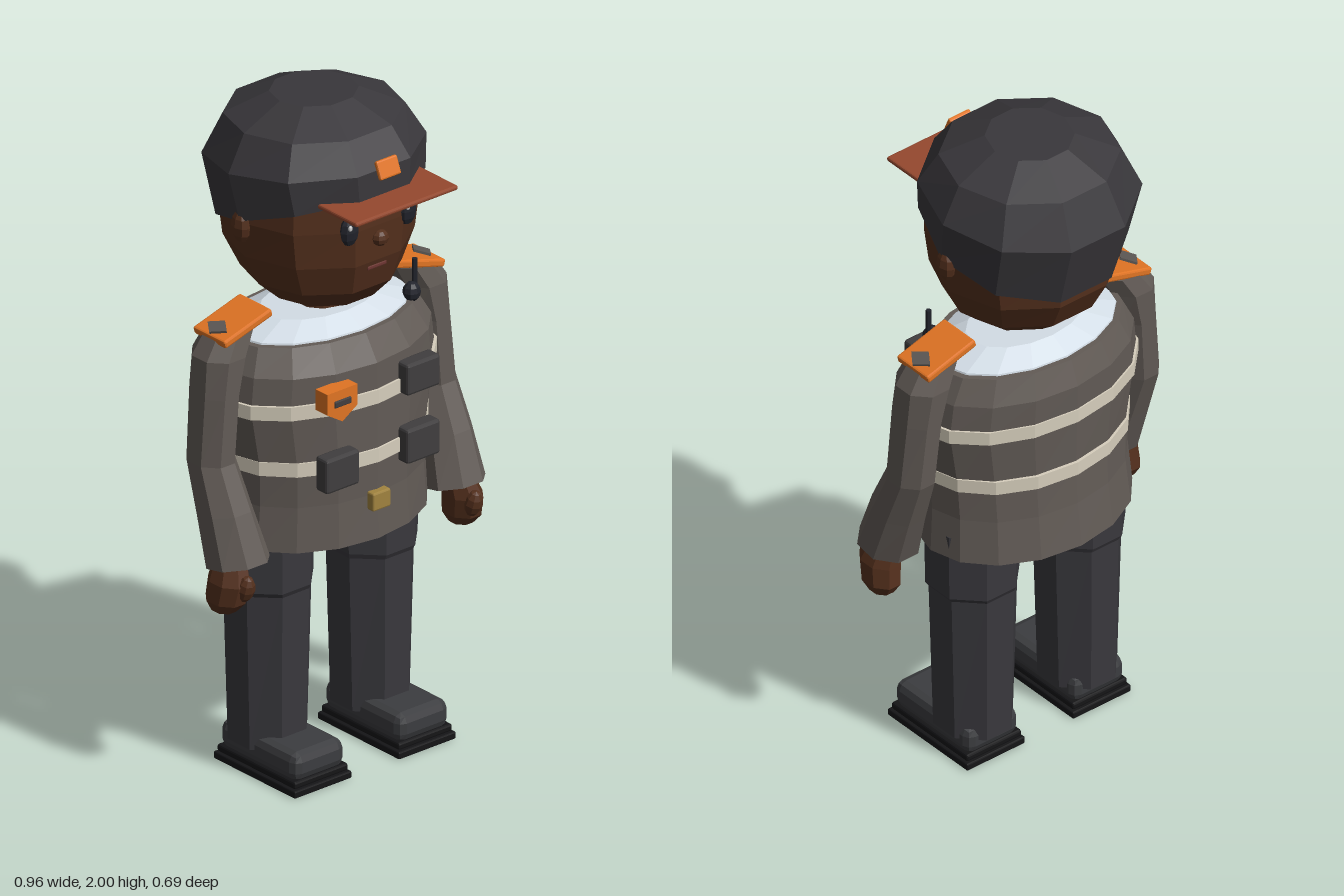
import * as THREE from 'three';
import { RoundedBoxGeometry } from 'three/addons/geometries/RoundedBoxGeometry.js';

const COLORS = {
  jacket: 0x625b56, cap: 0x39373b, trousers: 0x39383d, skin: 0x54301d, orange: 0xe07424,
  visor: 0x95492f, stripe: 0xd6cebc, shirt: 0xd3dde6, shoe: 0x3c3d40, sole: 0x151517,
  pocket: 0x403e3f, dark: 0x22242c, gold: 0xa0833f, mouth: 0x6e3632, white: 0xe8e8e8, diamond: 0x5c5855,
};
const mats = {};
function mat(name) {
  if (!mats[name]) {
    mats[name] = new THREE.MeshStandardMaterial({ color: COLORS[name], flatShading: true });
  }
  return mats[name];
}

// Closed faceted body through horizontal rings [x, y, z, rx, rz, slope]; slope tilts the ring along z
function loft(rings, n, phase = 0) {
  const pos = [];
  const point = (r, i) => {
    const a = ((i + phase) / n) * Math.PI * 2;
    const dz = Math.sin(a) * r[4];
    return [r[0] + Math.cos(a) * r[3], r[1] + dz * (r[5] || 0), r[2] + dz];
  };
  const tri = (a, b, c) => pos.push(...a, ...b, ...c);
  const first = rings[0], last = rings[rings.length - 1];
  for (let i = 0; i < n; i++) {
    for (let k = 0; k < rings.length - 1; k++) {
      const a = point(rings[k], i), b = point(rings[k], i + 1);
      const c = point(rings[k + 1], i), d = point(rings[k + 1], i + 1);
      tri(a, c, b);
      tri(b, c, d);
    }
    tri(first.slice(0, 3), point(first, i), point(first, i + 1));
    tri(last.slice(0, 3), point(last, i + 1), point(last, i));
  }
  const g = new THREE.BufferGeometry();
  g.setAttribute('position', new THREE.Float32BufferAttribute(pos, 3));
  g.computeVertexNormals();
  return g;
}

export function createModel() {
  const root = new THREE.Group();
  root.name = 'uniformedFigure';

  function add(name, geometry, color, x = 0, y = 0, z = 0) {
    const m = new THREE.Mesh(geometry, mat(color));
    m.name = name;
    m.position.set(x, y, z);
    root.add(m);
    return m;
  }
  const block = (w, h, d, r = 0.008) => new RoundedBoxGeometry(w, h, d, 1, r);
  const blob = (rx, ry, rz) => new THREE.SphereGeometry(1, 8, 6).scale(rx, ry, rz);

  // Jacket, with a slightly flared hem
  add('jacket', loft([
    [0, 0.715, -0.025, 0.335, 0.25],
    [0, 0.85, -0.02, 0.325, 0.237],
    [0, 0.97, -0.015, 0.33, 0.235],
    [0, 1.15, -0.018, 0.362, 0.237],
    [0, 1.25, -0.02, 0.35, 0.238],
    [0, 1.325, -0.03, 0.31, 0.2],
  ], 16), 'jacket');
  for (const [y, rx] of [[0.97, 0.335], [1.15, 0.368]]) {
    add('reflectiveStripe', loft([
      [0, y - 0.021, -0.017, rx, 0.243], [0, y + 0.021, -0.017, rx, 0.243],
    ], 16), 'stripe');
  }

  // Shirt and neck
  add('shirt', loft([
    [0, 1.3, -0.03, 0.3, 0.19], [0, 1.33, -0.03, 0.29, 0.182], [0, 1.365, -0.03, 0.19, 0.12],
  ], 16), 'shirt');
  add('neck', new THREE.CylinderGeometry(0.075, 0.075, 0.13, 10), 'skin', 0, 1.38, -0.02);

  // Head and face
  add('head', loft([
    [0, 1.415, -0.01, 0.16, 0.16],
    [0, 1.475, -0.02, 0.225, 0.225],
    [0, 1.57, -0.03, 0.268, 0.265],
    [0, 1.68, -0.03, 0.285, 0.272],
    [0, 1.82, -0.03, 0.28, 0.268],
  ], 10), 'skin');
  add('nose', blob(0.026, 0.024, 0.024), 'skin', 0, 1.64, 0.23);
  add('mouth', block(0.07, 0.014, 0.02, 0.004), 'mouth', 0, 1.55, 0.209);

  // Cap, rim dropping toward the back
  add('cap', loft([
    [0, 1.69, -0.022, 0.295, 0.285, 0.34],
    [0, 1.83, -0.05, 0.312, 0.312, 0.1],
    [0, 1.937, -0.05, 0.255, 0.25, 0.03],
    [0, 1.995, -0.05, 0.125, 0.125, 0.03],
  ], 10), 'cap');
  add('visor', block(0.372, 0.014, 0.19, 0.005), 'visor', 0, 1.776, 0.25);
  add('capBadge', block(0.075, 0.055, 0.015, 0.005), 'orange', 0, 1.866, 0.262).rotation.x = -0.4;

  // Trouser seat
  add('hips', loft([
    [0, 0.672, -0.055, 0.25, 0.155], [0, 0.78, -0.045, 0.28, 0.17],
  ], 12), 'trousers');

  for (const s of [1, -1]) {
    const side = s > 0 ? 'left' : 'right';

    // Eyes and ears
    add(side + 'Eye', blob(0.031, 0.046, 0.02), 'dark', s * 0.105, 1.69, 0.222);
    add(side + 'EyeGlint', blob(0.007, 0.009, 0.005), 'white', s * 0.105 - 0.012, 1.707, 0.24);
    add(side + 'Ear', blob(0.024, 0.05, 0.033), 'skin', s * 0.283, 1.67, -0.03);

    // Leg, with a crease at the knee
    add(side + 'Leg', loft([
      [s * 0.187, 0.08, -0.03, 0.113, 0.122],
      [s * 0.187, 0.555, -0.03, 0.128, 0.13],
      [s * 0.19, 0.57, -0.03, 0.136, 0.138],
      [s * 0.19, 0.78, -0.03, 0.138, 0.138],
    ], 8, 0.5), 'trousers');

    // Shoe
    add(side + 'Sole', block(0.208, 0.022, 0.345, 0.004), 'sole', s * 0.19, 0.011, 0.038);
    add(side + 'Welt', block(0.195, 0.022, 0.33, 0.006), 'sole', s * 0.19, 0.034, 0.038);
    add(side + 'Shoe', block(0.185, 0.085, 0.325, 0.026), 'shoe', s * 0.19, 0.079, 0.037);

    // Sleeve, bent forward at the elbow
    add(side + 'Sleeve', loft([
      [s * 0.393, 0.715, 0.085, 0.093, 0.09, 0.2],
      [s * 0.4, 0.86, 0.035, 0.078, 0.085, 0.15],
      [s * 0.402, 1.0, -0.02, 0.067, 0.078],
      [s * 0.385, 1.2, -0.025, 0.066, 0.082],
      [s * 0.365, 1.31, -0.028, 0.078, 0.084],
      [s * 0.325, 1.378, -0.028, 0.072, 0.07],
    ], 8, 0.5), 'jacket');

    // Hand and thumb
    add(side + 'Hand', loft([
      [s * 0.432, 0.578, 0.07, 0.034, 0.04],
      [s * 0.43, 0.61, 0.075, 0.052, 0.066],
      [s * 0.425, 0.67, 0.085, 0.054, 0.07],
      [s * 0.41, 0.74, 0.075, 0.04, 0.05],
    ], 8, 0.5), 'skin');
    const thumb = add(side + 'Thumb', blob(0.027, 0.042, 0.027), 'skin', s * 0.415, 0.66, 0.143);
    thumb.rotation.x = 0.3;

    // Shoulder board with a diamond
    const board = add(side + 'ShoulderBoard', block(0.18, 0.024, 0.135, 0.006), 'orange',
      s * 0.315, 1.388, -0.027);
    board.rotation.z = -s * 0.28;
    const diamond = new THREE.Mesh(new THREE.CylinderGeometry(0.04, 0.04, 0.01, 4), mat('diamond'));
    diamond.name = side + 'Diamond';
    diamond.position.set(s * 0.055, 0.014, 0);
    diamond.scale.x = 0.75;
    board.add(diamond);
  }

  // Pockets and buckle
  for (const [x, y, h] of [[0.147, 1.175, 0.095], [0.147, 0.97, 0.105], [-0.147, 0.97, 0.105]]) {
    add('pocket', block(0.12, h, 0.05, 0.008), 'pocket', x, y, 0.221);
  }
  add('buckle', block(0.064, 0.055, 0.03, 0.005), 'gold', 0, 0.836, 0.224);

  // Shield badge on the chest
  const shield = new THREE.Shape([[-0.055, 0.048], [0.055, 0.048], [0.055, -0.015], [0, -0.05], [-0.055, -0.015]]
    .map(([x, y]) => new THREE.Vector2(x, y)));
  add('badge', new THREE.ExtrudeGeometry(shield, { depth: 0.05, bevelEnabled: false }), 'orange', -0.15, 1.178, 0.195);
  add('badgeSlot', block(0.06, 0.02, 0.01, 0.003), 'pocket', -0.15, 1.187, 0.245);

  // Shoulder radio
  add('radio', blob(0.027, 0.03, 0.025), 'dark', 0.24, 1.345, 0.085);
  add('antenna', new THREE.CylinderGeometry(0.008, 0.008, 0.1, 6), 'dark', 0.255, 1.39, 0.08);

  return root;
}
